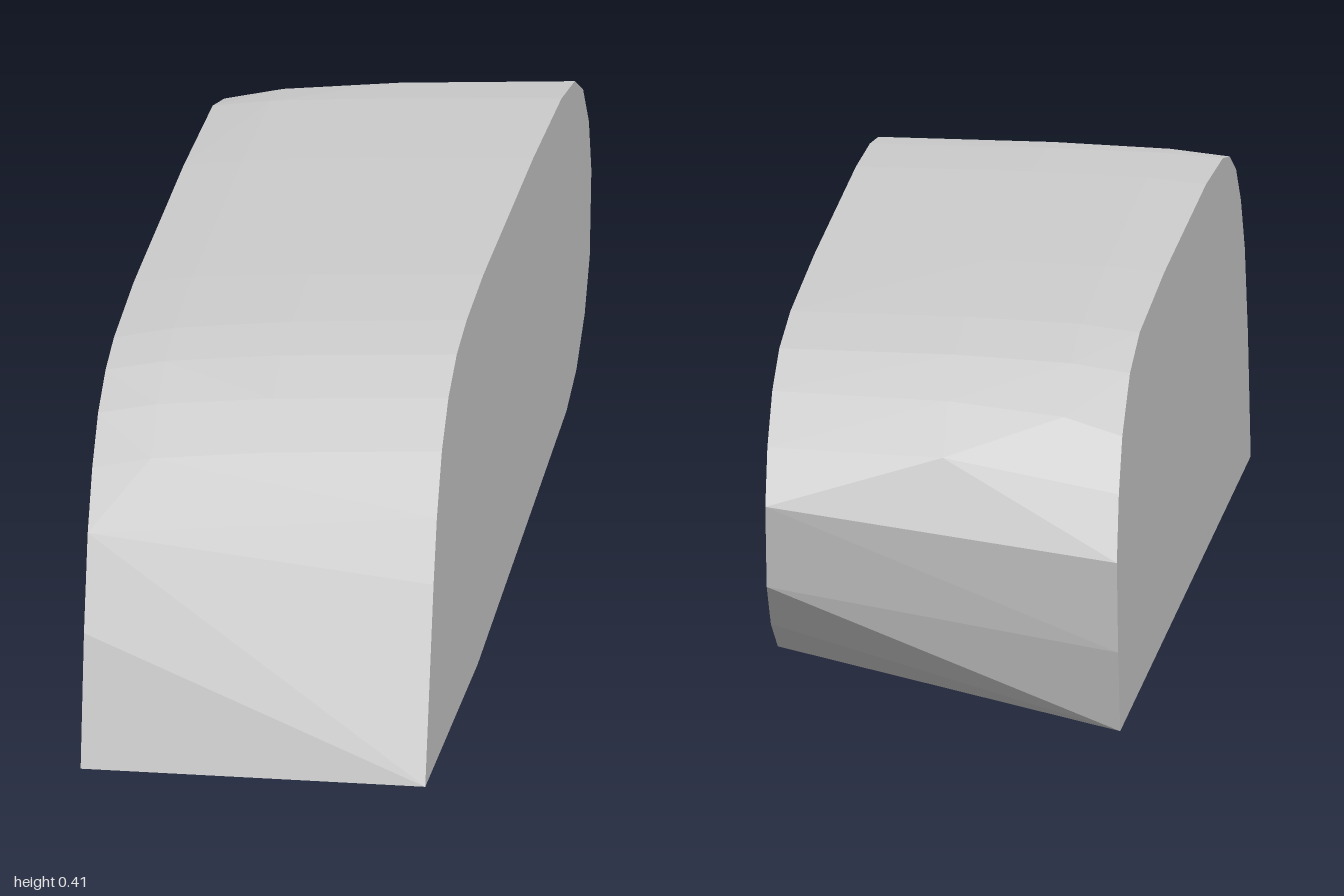
import * as THREE from 'three';
import { ConvexGeometry } from 'three/addons/geometries/ConvexGeometry.js';

const HALF_WIDTH = 0.188;

// Upper outlines as [z, y], front to back, with matching points on both sides
const leftTop = [
  [0.90, 0.20], [0.86, 0.265], [0.80, 0.325], [0.72, 0.367], [0.62, 0.393], [0.50, 0.405],
  [0.30, 0.412], [-0.30, 0.412], [-0.64, 0.405], [-0.80, 0.39], [-0.90, 0.36], [-0.97, 0.31], [-1, 0.25],
];
const rightTop = [
  [0.90, 0.14], [0.855, 0.24], [0.80, 0.30], [0.73, 0.345], [0.64, 0.373], [0.54, 0.387],
  [0.30, 0.397], [-0.30, 0.397], [-0.65, 0.388], [-0.79, 0.366], [-0.90, 0.315], [-0.95, 0.26], [-0.978, 0.19],
];
// Lower outlines: the left rear corner is rounded up, the right one is nearly square
const leftBottom = [[1, 0], [0.37, 0], [-0.70, 0.05], [-0.82, 0.07], [-0.92, 0.11], [-0.98, 0.16]];
const rightBottom = [[0.94, 0], [-0.93, 0], [-0.96, 0.09]];

const section = (x, outline) => outline.map(([z, y]) => new THREE.Vector3(x, y, z));

// Slightly crowned section between the two sides
const blend = (t) => rightTop.map(([z, y], i) => [
  THREE.MathUtils.lerp(z, leftTop[i][0], t),
  THREE.MathUtils.lerp(y, leftTop[i][1], t),
]).filter(([, y]) => y > 0.29);

export function createModel() {
  const grey = new THREE.MeshStandardMaterial({ color: 0xcccccc });
  grey.name = 'light grey';

  // One convex, faceted block
  const block = new THREE.Mesh(new ConvexGeometry([
    ...section(HALF_WIDTH, [...leftTop, ...leftBottom]),
    ...section(0, blend(0.8)),
    ...section(-0.125, blend(0.45)),
    ...section(-HALF_WIDTH, [...rightTop, ...rightBottom]),
  ]), grey);
  block.name = 'roundedBlock';

  const group = new THREE.Group();
  group.name = 'roundedBlockModel';
  group.add(block);
  return group;
}
